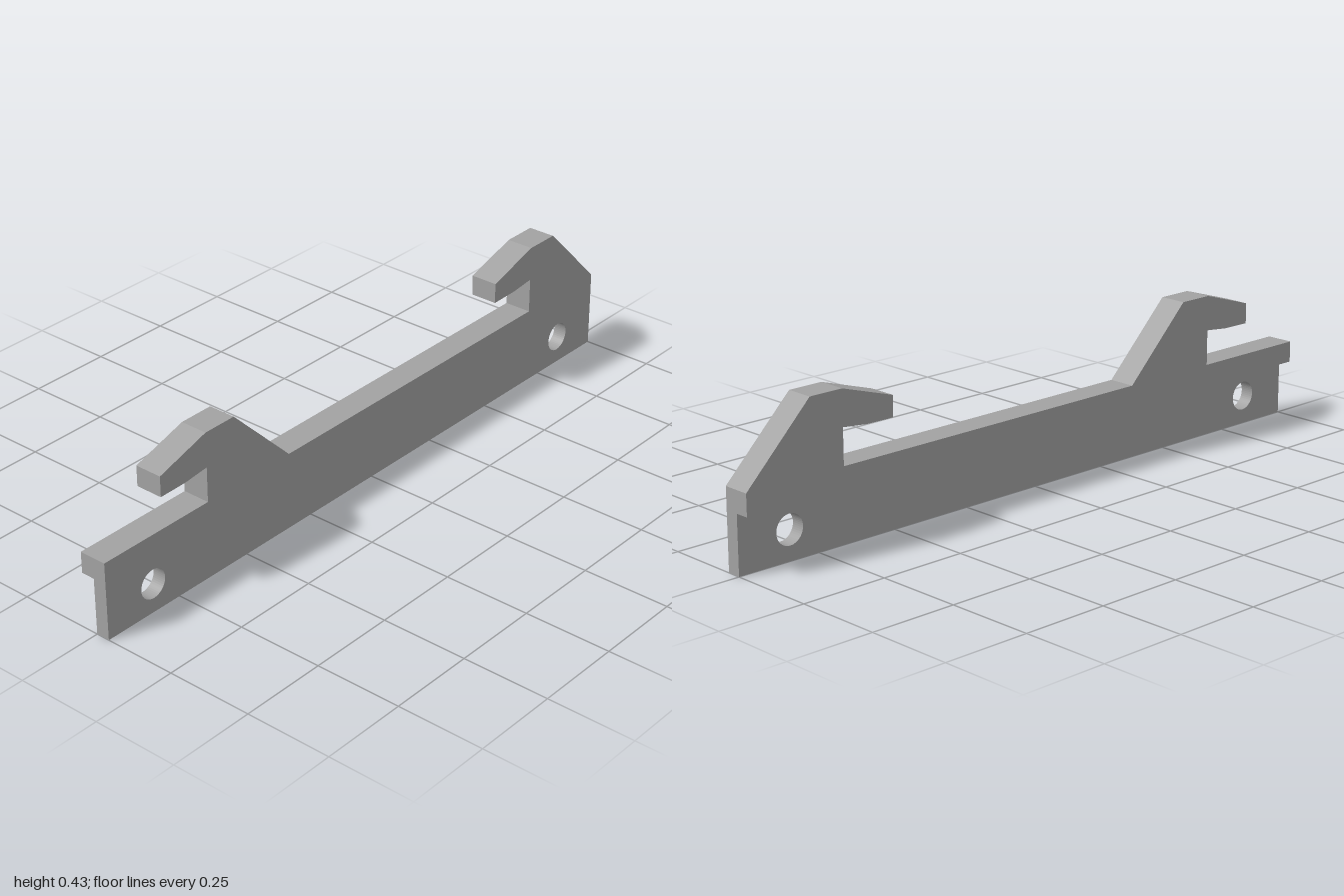
import * as THREE from 'three';

const STEP = 0.163;   // height where the thick upper rail begins
const RAIL = 0.224;   // top of the rail
const HALF = 0.04;    // half of the full thickness

export function createModel() {
  const group = new THREE.Group();
  group.name = 'hookRail';
  const grey = new THREE.MeshStandardMaterial({ color: 0xa2a2a2 });
  grey.name = 'grey';

  const addPlate = (name, shape, z, depth) => {
    const geometry = new THREE.ExtrudeGeometry(shape, { depth, bevelEnabled: false, curveSegments: 24 });
    geometry.translate(0, 0, z);
    const mesh = new THREE.Mesh(geometry, grey);
    mesh.name = name;
    group.add(mesh);
  };
  const polygon = (points) => new THREE.Shape(points.map(([x, y]) => new THREE.Vector2(x, y)));

  // hook outline from its sloping foot, over the nose, to the inside of the notch
  const hook = (x) => [
    [0, RAIL], [-0.202, 0.425], [-0.304, 0.425], [-0.467, 0.375],
    [-0.467, 0.316], [-0.38, 0.317], [-0.304, 0.325], [-0.304, RAIL],
  ].map(([dx, y]) => [x + dx, y]);

  // thick upper rail with both hooks
  addPlate('hookedUpperRail', polygon([
    [-1, STEP], [1, STEP], ...hook(1), ...hook(-0.333), [-1, RAIL],
  ]), -HALF, 2 * HALF);

  // thin lower plate, flush with the front, with two screw holes
  const plate = polygon([[-1, 0], [1, 0], [1, STEP], [-1, STEP]]);
  for (const side of [-1, 1]) {
    const hole = new THREE.Path();
    hole.absarc(side * 0.84, 0.083, 0.042, 0, Math.PI * 2, true);
    plate.holes.push(hole);
  }
  addPlate('lowerMountingPlate', plate, 0, HALF);

  return group;
}
